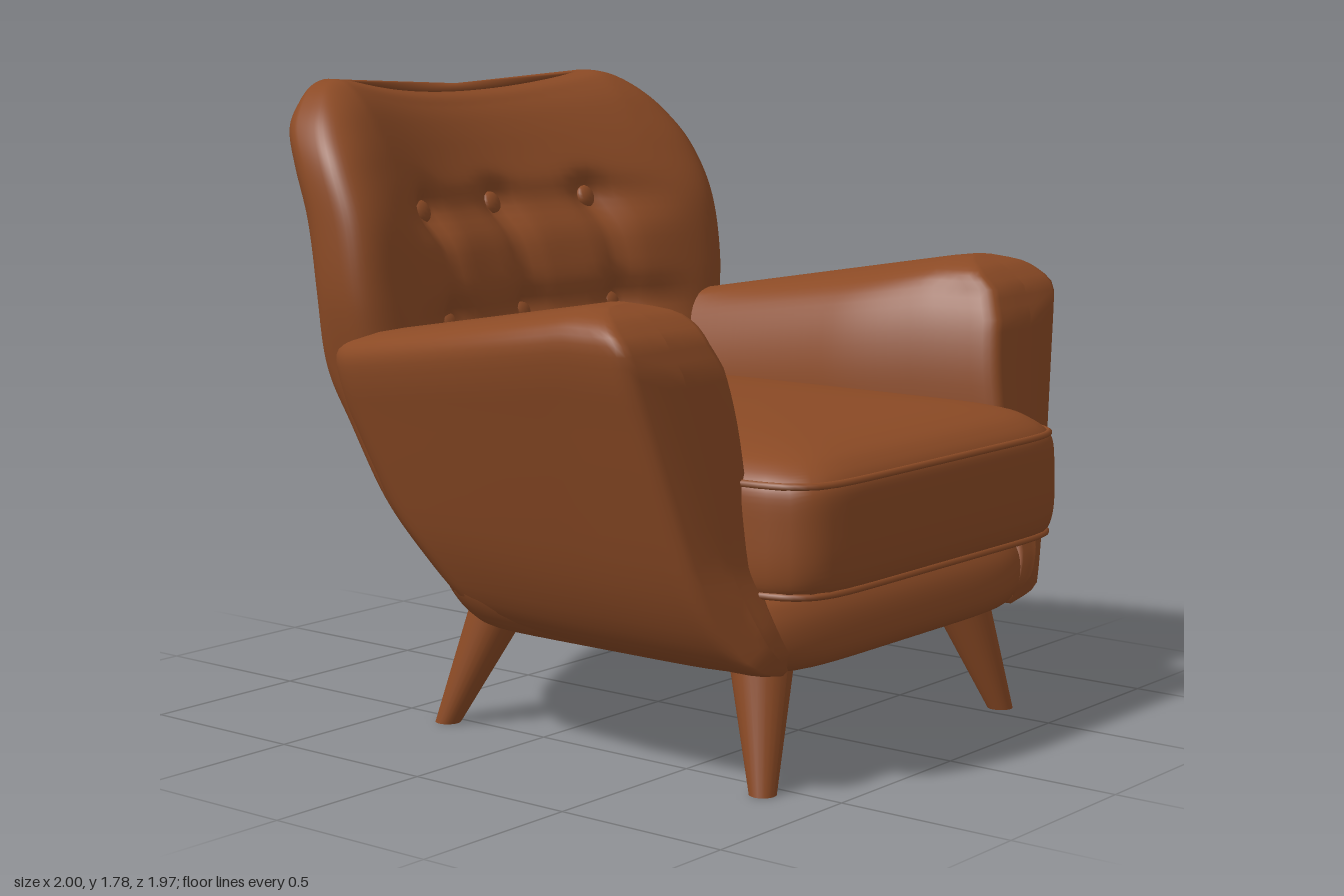
import * as THREE from 'three';

const leather = new THREE.MeshStandardMaterial({ color: 0x8b4a25 });
leather.name = 'brownLeather';

const { clamp, lerp, smoothstep } = THREE.MathUtils;

// Skin a stack of closed rings; flat end caps get their own vertices
function loft(rings, caps = true) {
  const n = rings[0].length, pos = [], idx = [];
  rings.forEach(r => r.forEach(p => pos.push(p.x, p.y, p.z)));
  for (let i = 0; i < rings.length - 1; i++)
    for (let j = 0; j < n; j++) {
      const a = i * n + j, b = i * n + (j + 1) % n;
      idx.push(a, b, a + n, b, b + n, a + n);
    }
  if (caps) [rings[0], rings[rings.length - 1]].forEach((r, e) => {
    const c = r.reduce((s, p) => s.add(p), new THREE.Vector3()).divideScalar(n);
    const k = pos.length / 3;
    [...r, c].forEach(p => pos.push(p.x, p.y, p.z));
    for (let j = 0; j < n; j++) {
      const a = k + j, b = k + (j + 1) % n;
      if (e) idx.push(a, b, k + n); else idx.push(b, a, k + n);
    }
  });
  // turn the faces outward if the signed volume is negative
  const v = i => new THREE.Vector3().fromArray(pos, i * 3);
  let vol = 0;
  for (let i = 0; i < idx.length; i += 3) vol += v(idx[i]).dot(v(idx[i + 1]).cross(v(idx[i + 2])));
  if (vol < 0) idx.reverse();
  const g = new THREE.BufferGeometry();
  g.setAttribute('position', new THREE.Float32BufferAttribute(pos, 3));
  g.setIndex(idx);
  g.computeVertexNormals();
  return g;
}

// Piecewise lookup in [[key, value], ...] with ascending keys
function lookup(table, k) {
  if (k <= table[0][0]) return table[0][1];
  for (let i = 1; i < table.length; i++)
    if (k <= table[i][0]) {
      const [a, va] = table[i - 1], [b, vb] = table[i];
      return va + (vb - va) * (k - a) / (b - a);
    }
  return table[table.length - 1][1];
}

// Smoothly sample rows of numbers at t in 0..1
function sampleRows(rows, t) {
  const f = t * (rows.length - 1), i = Math.min(Math.floor(f), rows.length - 2), u = f - i;
  const at = k => rows[clamp(k, 0, rows.length - 1)];
  return rows[0].map((_, c) => {
    const a = at(i - 1)[c], b = at(i)[c], d = at(i + 1)[c], e = at(i + 2)[c];
    return b + 0.5 * u * (d - a + u * (2 * a - 5 * b + 4 * d - e + u * (3 * (b - d) + e - a)));
  });
}

// Rounded rectangle in plan
function planRing(y, w, h, zMid, power, n = 96) {
  return Array.from({ length: n }, (_, i) => {
    const a = (i + 0.5) / n * Math.PI * 2, c = Math.cos(a), s = Math.sin(a);
    const r = 1 / Math.pow(Math.abs(c) ** power + Math.abs(s) ** power, 1 / power);
    return new THREE.Vector3(w * c * r, y, zMid + h * s * r);
  });
}

const buttonX = [-0.39, -0.03, 0.34], buttonY = [1.1, 1.41];
const bell = (d, w) => Math.exp(-(d * d) / (w * w));

// Depth of the tufting at a point of the backrest
function tuft(x, y) {
  const fade = smoothstep(0.66 - Math.abs(x), 0, 0.25);
  let d = 0;
  for (const by of buttonY) {
    d += 0.032 * bell(y - by, 0.06) * fade;
    for (const bx of buttonX) d += 0.035 * bell(Math.hypot(x - bx, y - by), 0.07);
  }
  const low = smoothstep(1.52 - y, 0, 0.14) * smoothstep(y, 0.75, 0.9);
  for (const bx of buttonX) d += 0.022 * bell(x - bx, 0.045) * low;
  return d - 0.015 * fade * low;
}

// Backrest slices: height, half width, front z, back z, forward bend of the sides
const backRows = [
  [0.31, 0.54, 0.3, -0.27, 0.05], [0.36, 0.62, 0.25, -0.37, 0.08], [0.5, 0.69, 0.1, -0.49, 0.11],
  [0.65, 0.72, -0.12, -0.6, 0.13], [0.85, 0.74, -0.3, -0.71, 0.15], [1.0, 0.77, -0.375, -0.79, 0.17],
  [1.2, 0.805, -0.46, -0.84, 0.23], [1.4, 0.805, -0.54, -0.91, 0.29], [1.55, 0.79, -0.62, -0.97, 0.31],
  [1.65, 0.75, -0.67, -0.985, 0.3], [1.72, 0.69, -0.71, -0.935, 0.28], [1.77, 0.61, -0.75, -0.875, 0.25],
  [1.79, 0.5, -0.785, -0.815, 0.22]];

function backRings(levels = 84, cols = 64) {
  return Array.from({ length: levels + 1 }, (_, l) => {
    const [y, w, zf, zb, bend] = sampleRows(backRows, l / levels);
    return Array.from({ length: cols * 2 }, (_, j) => {
      const front = j < cols, s = (front ? j : j - cols) / cols * 2 - 1;
      const q = Math.sin(s * Math.PI / 2) * (front ? 1 : -1), x = w * q;
      const power = front ? 3.3 : 2.9;
      const thick = Math.pow(1 - Math.abs(q) ** power, 1 / power) * (zf - zb) / 2;
      const curve = bend * (Math.abs(x) / 0.8) ** (front ? 2 : 3) * (1 - 0.25 * q ** 6);
      let z = (zf + zb) / 2 + (front ? thick : -thick) + curve;
      if (front) z -= tuft(x, y);
      const dip = 0.06 * Math.max(0, 1 - (x / 0.55) ** 2) * clamp((y - 1.45) / 0.3, 0, 1);
      return new THREE.Vector3(x, y - dip, z);
    });
  });
}

// Arm section as paired outer and inner points, bottom to top
const spline = pts => new THREE.SplineCurve(pts.map(p => new THREE.Vector2(...p)));
const armOuter = spline([[0.55, 0.31], [0.66, 0.335], [0.74, 0.4], [0.82, 0.55], [0.895, 0.78],
  [0.955, 0.98], [0.99, 1.1], [1.0, 1.19], [0.96, 1.24], [0.88, 1.262]]);
const armInner = spline([[0.45, 0.36], [0.5, 0.45], [0.52, 0.56], [0.52, 0.7], [0.52, 0.85],
  [0.53, 0.98], [0.56, 1.1], [0.61, 1.19], [0.69, 1.24], [0.8, 1.265]]);
const armFrontZ = [[0.31, 0.845], [0.38, 0.868], [0.45, 0.855], [0.6, 0.8], [0.85, 0.765],
  [1.1, 0.73], [1.19, 0.69], [1.24, 0.625], [1.265, 0.545]];
const armBackZ = [[0.31, -0.2], [0.65, -0.48], [1.0, -0.6], [1.2, -0.62]];

function armGeometry(side) {
  const n = 30, stations = [];
  for (let i = 0; i <= 36; i++) stations.push([i / 36 * 0.97, 1]);
  stations.push([0.985, 0.98], [0.996, 0.93], [1, 0.85], [1, 0.5], [1, 0]);
  const place = (p, u, outer) => {
    const front = Math.min(lookup(armFrontZ, p.y), 0.875 - 0.47 * Math.max(0, p.x - 0.62));
    const z = lerp(lookup(armBackZ, p.y), front, u);
    const y = p.y < 0.5 ? p.y : 0.5 + (p.y - 0.5) * (1 - 0.21 * clamp((0.5 - z) / 0.95, 0, 1.1));
    // the arm narrows toward the back, and its inner face opens toward the front
    const taper = 0.2 * Math.pow(Math.max(0, (0.4 - z) / 0.9), 1.8) * (outer ? 1 : smoothstep(p.x, 0.55, 0.8));
    const open = outer ? 0 : 0.09 * smoothstep(z, 0.2, 0.9) * smoothstep(1.265 - p.y, 0, 0.1) - 0.015;
    return new THREE.Vector3(side * (p.x * (1 - taper) + open), y, z);
  };
  return loft(stations.map(([u, shrink]) => {
    const out = [], inn = [];
    // the rear end rounds inward to merge with the backrest
    const wrap = u < 0.16 ? Math.sqrt(1 - (1 - u / 0.16) ** 2) : 1;
    for (let i = 0; i <= n; i++) {
      const o = armOuter.getPoint(i / n), q = armInner.getPoint(i / n);
      const m = o.clone().lerp(q, 0.5);
      const a = place(m.clone().lerp(o, shrink), u, true), b = place(m.clone().lerp(q, shrink), u, false);
      // both sides meet halfway on the front face
      const mid = a.clone().lerp(b, 0.5), k = (1 - shrink) ** 2;
      out.push(b.clone().lerp(a, wrap).lerp(mid, k));
      inn.unshift(b.lerp(mid, k));
    }
    return [...out, ...inn];
  }), false);
}

export function createModel() {
  const model = new THREE.Group();
  model.name = 'armchair';
  const add = (name, geometry) => {
    const m = new THREE.Mesh(geometry, leather);
    m.name = name;
    model.add(m);
    return m;
  };

  // Base with rounded front rail
  const baseRows = [[0.31, 0.57, 0.83, -0.18], [0.32, 0.63, 0.872, -0.22], [0.36, 0.68, 0.892, -0.25],
    [0.42, 0.715, 0.885, -0.28], [0.47, 0.72, 0.865, -0.3], [0.505, 0.71, 0.83, -0.3], [0.515, 0.66, 0.76, -0.3]];
  add('base', loft(Array.from({ length: 25 }, (_, i) => {
    const [y, w, f, b] = sampleRows(baseRows, i / 24);
    return planRing(y, w, (f - b) / 2, (f + b) / 2, 6);
  })));

  // Tufted backrest
  const rings = backRings();
  add('backrest', loft(rings));

  // Buttons seated in the tufts
  const surface = rings.flatMap(r => r.slice(0, r.length / 2));
  for (const y of buttonY) for (const x of buttonX) {
    const d = p => Math.hypot(p.x - x, p.y - y);
    const p = surface.reduce((a, b) => (d(b) < d(a) ? b : a));
    const button = add('button', new THREE.SphereGeometry(0.035, 16, 10).scale(1, 1, 0.5));
    button.position.set(x, y, p.z + 0.004);
    button.rotation.x = -0.35;
  }

  // Arms
  add('leftArm', armGeometry(1));
  add('rightArm', armGeometry(-1));

  // Seat cushion: height and inset of each slice
  const cushionRows = [[0.505, 0.08], [0.515, 0.04], [0.54, 0.012], [0.6, 0], [0.7, 0], [0.78, 0.004], [0.815, 0.018],
    [0.843, 0.045], [0.868, 0.09], [0.887, 0.17], [0.9, 0.29], [0.908, 0.45], [0.91, 0.635]];
  const cushionRing = (y, inset) => planRing(y, 0.645 - inset, 0.7 - inset, 0.285, 9);
  const cushion = add('seatCushion', loft(Array.from({ length: 49 }, (_, i) => cushionRing(...sampleRows(cushionRows, i / 48)))));
  cushion.position.x = 0.01;

  // Cushion piping
  for (const [y, inset] of [[0.81, 0.014], [0.53, 0.016]]) {
    const path = new THREE.CatmullRomCurve3(cushionRing(y, inset), true);
    add('cushionPiping', new THREE.TubeGeometry(path, 160, 0.01, 6, true)).position.x = 0.01;
  }

  // Splayed tapered legs: foot x, foot z, top x, top z
  for (const side of [1, -1])
    for (const [name, fx, fz, tx, tz] of [['frontLeg', 0.565, 0.8, 0.46, 0.715], ['rearLeg', 0.54, -0.32, 0.445, -0.2]]) {
      const g = new THREE.CylinderGeometry(0.088, 0.036, 0.34, 24).translate(0, 0.17, 0);
      const p = g.attributes.position;
      for (let i = 0; i < p.count; i++) {
        const t = p.getY(i) / 0.34;
        p.setX(i, p.getX(i) + side * lerp(fx, tx, t));
        p.setZ(i, p.getZ(i) + lerp(fz, tz, t));
      }
      g.computeVertexNormals();
      add(name, g);
    }
  return model;
}
